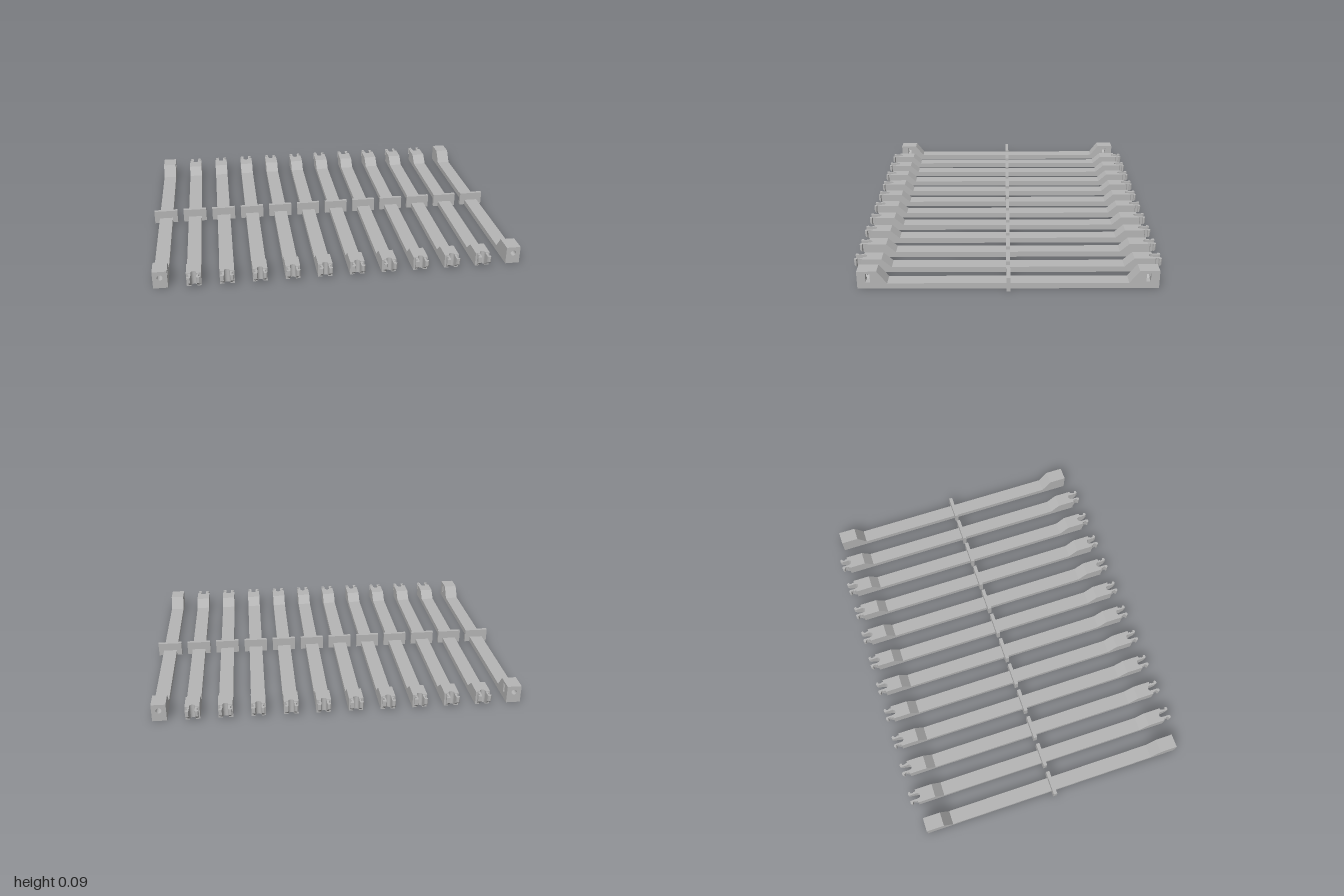
import * as THREE from 'three';

const W = 0.076;          // beam width
const COUNT = 12;
const STEP = 0.1697;      // distance between beams
const END = 0.747;        // half length of a beam

const grey = new THREE.MeshStandardMaterial({ color: 0xb5b5b5 });
grey.name = 'grey plastic';

function polygon(points) {
  return new THREE.Shape(points.map(([x, y]) => new THREE.Vector2(x, y)));
}

function extrude(shape, depth) {
  return new THREE.ExtrudeGeometry(shape, { depth, bevelEnabled: false, curveSegments: 12 });
}

function addMesh(parent, geometry, name, x = 0, y = 0, z = 0) {
  const mesh = new THREE.Mesh(geometry, grey);
  mesh.name = name;
  mesh.position.set(x, y, z);
  parent.add(mesh);
  return mesh;
}

// Long bar whose ends ramp up to taller blocks
function barGeometry(endZ, height) {
  const half = [[endZ, 0], [endZ, height], [0.648, height], [0.598, 0.03]];
  const mirrored = half.map(([z, y]) => [-z, y]).reverse();
  const g = extrude(polygon([...half, ...mirrored]), W);
  g.rotateY(-Math.PI / 2);
  g.translate(W / 2, 0, 0);
  return g;
}

// Slice of an outer block with a hexagonal nut pocket open to +x
function nutSliceGeometry(depth) {
  const w = W / 2;
  return extrude(polygon([
    [-w, 0], [w, 0], [w, 0.036], [0, 0.036], [-0.02, 0.0475], [-0.02, 0.0705],
    [0, 0.082], [w, 0.082], [w, 0.095], [-w, 0.095],
  ]), depth);
}

// Outer cap of the block with a round bolt hole
function boltCapGeometry(depth) {
  const w = W / 2;
  const shape = polygon([[-w, 0], [w, 0], [w, 0.095], [-w, 0.095]]);
  const hole = new THREE.Path();
  hole.absarc(0, 0.06, 0.015, 0, Math.PI * 2, true);
  shape.holes.push(hole);
  return extrude(shape, depth);
}

// Block end with a round-bottomed notch, facing -z
function notchedEndGeometry() {
  const w = W / 2, r = 0.015;
  const shape = new THREE.Shape();
  shape.moveTo(-w, 0.715);
  shape.lineTo(w, 0.715);
  shape.lineTo(w, END);
  shape.lineTo(r, END);
  shape.absarc(0, 0.742, r, 0, Math.PI, true);
  shape.lineTo(-r, END);
  shape.lineTo(-w, END);
  shape.closePath();
  const g = extrude(shape, 0.075);
  g.rotateX(-Math.PI / 2);
  return g;
}

// Hooked prong facing -z, with an underside that slopes up to the tip
function prongGeometry(side) {
  const plan = [
    [0.015, END], [0.028, END], [0.028, 0.758], [0.024, 0.762], [0.024, 0.774],
    [0.035, 0.778], [0.035, 0.784], [0.03, 0.79], [0.018, 0.79], [0.015, 0.78],
  ].map(([x, z]) => [x * side, z]);
  const g = extrude(polygon(plan), 0.072);
  g.rotateX(-Math.PI / 2);
  const p = g.attributes.position;
  for (let i = 0; i < p.count; i++) {
    if (p.getY(i) < 0.01) p.setY(i, 0.006 + (-p.getZ(i) - END) * 0.8);
  }
  g.computeVertexNormals();
  return g;
}

export function createModel() {
  const model = new THREE.Group();
  model.name = 'slatted frame';

  const pocketStart = 0.682, pocketEnd = 0.704;
  const outerBar = barGeometry(pocketStart, 0.095);
  const innerBar = barGeometry(0.715, 0.075);
  const nutSlice = nutSliceGeometry(pocketEnd - pocketStart);
  const boltCap = boltCapGeometry(END - pocketEnd);
  const notchedEnd = notchedEndGeometry();
  const prongs = [prongGeometry(1), prongGeometry(-1)];
  const plate = new THREE.BoxGeometry(0.134, 0.075, 0.02);

  for (let i = 0; i < COUNT; i++) {
    const outer = i === 0 || i === COUNT - 1;
    const beam = new THREE.Group();
    beam.name = outer ? 'outerBeam' : 'innerBeam';
    beam.position.x = (i - (COUNT - 1) / 2) * STEP;
    model.add(beam);

    addMesh(beam, plate, 'crossPlate', 0, 0.0375, 0);
    addMesh(beam, outer ? outerBar : innerBar, 'bar');

    if (outer) {
      // Bolted blocks at both ends
      addMesh(beam, nutSlice, 'nutPocket', 0, 0, pocketStart);
      addMesh(beam, nutSlice, 'nutPocket', 0, 0, -pocketEnd);
      addMesh(beam, boltCap, 'boltCap', 0, 0, pocketEnd);
      addMesh(beam, boltCap, 'boltCap', 0, 0, -END);
    } else {
      // Snap connectors at both ends
      for (const turn of [0, Math.PI]) {
        const connector = new THREE.Group();
        connector.name = 'snapConnector';
        connector.rotation.y = turn;
        addMesh(connector, notchedEnd, 'notchedEnd');
        prongs.forEach((g) => addMesh(connector, g, 'prong'));
        beam.add(connector);
      }
    }
  }
  return model;
}
